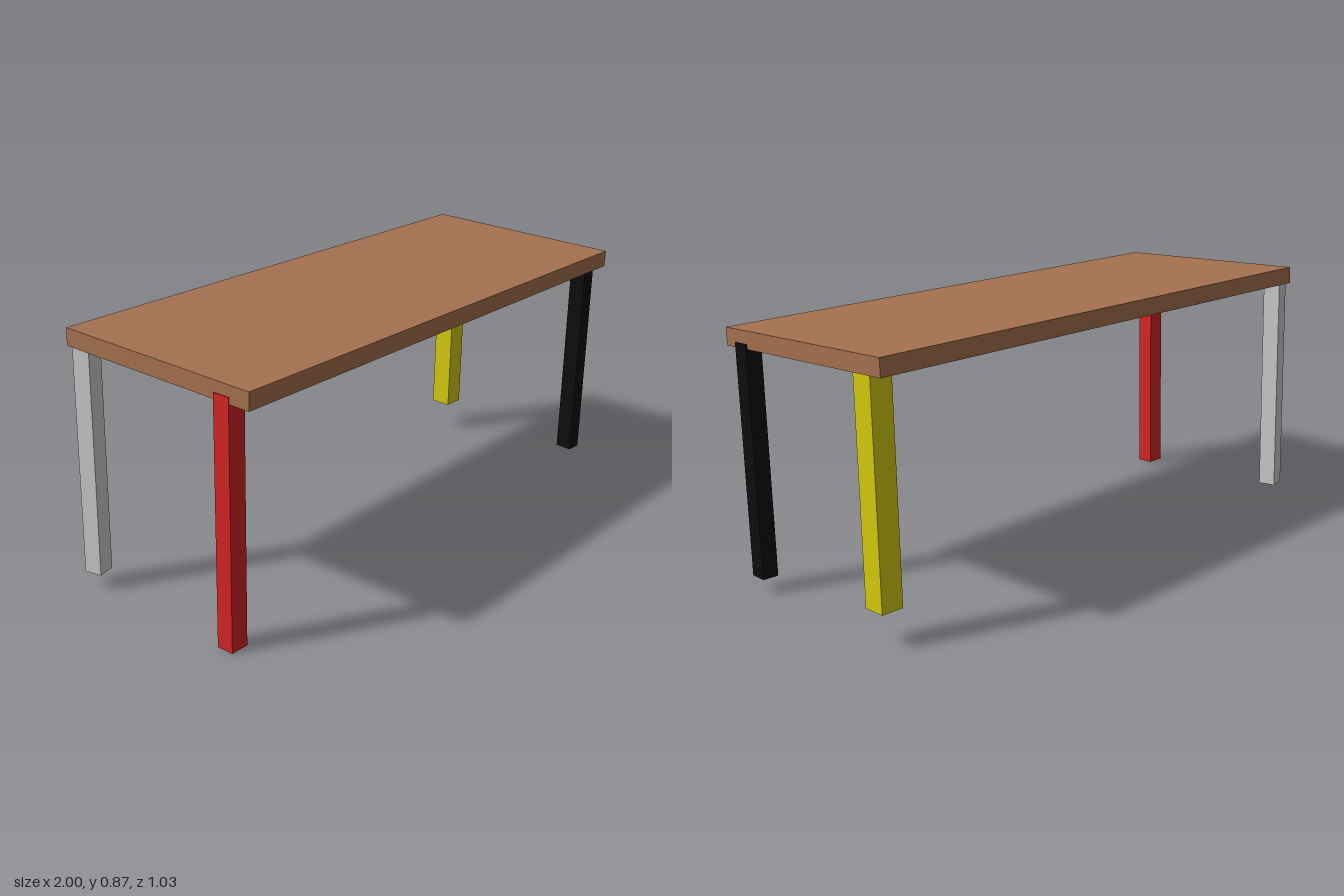
import * as THREE from 'three';

const paint = (name, color) => {
  const m = new THREE.MeshStandardMaterial({ color });
  m.name = name;
  return m;
};

export function createModel() {
  const table = new THREE.Group();
  table.name = 'table';

  // Slab top, turned and slightly tilted
  const top = new THREE.Mesh(new THREE.BoxGeometry(1.904, 0.057, 0.735), paint('brown wood', 0xa5714f));
  top.name = 'tableTop';
  top.rotation.set(0.048, 0.158, -0.004, 'XZY');
  top.position.set(0, 0.823, 0);
  table.add(top);

  // Legs: foot centre x, y, z, then width, depth, upper end and twist
  const legs = [
    ['frontRightLeg', paint('red', 0xd42426), -0.87, 0.001, 0.38, 0.063, 0.058, 0.8, 0.157],
    ['frontLeftLeg', paint('black', 0x0d0d0d), 0.963, 0.049, 0.1125, 0.054, 0.06, 0.8, 0.105],
    ['backRightLeg', paint('light grey', 0xcccccc), -0.951, 0.053, -0.21, 0.059, 0.059, 0.83, 0.375],
    ['backLeftLeg', paint('yellow', 0xd4cb0e), 0.853, 0.112, -0.4415, 0.076, 0.076, 0.835, 0.14],
  ];
  for (const [name, material, x, y, z, w, d, end, twist] of legs) {
    const h = end - y;
    const leg = new THREE.Mesh(new THREE.BoxGeometry(w, h, d).translate(0, h / 2, 0), material);
    leg.name = name;
    leg.rotation.set(0.034, twist, 0);
    leg.position.set(x, y, z);
    table.add(leg);
  }
  return table;
}
